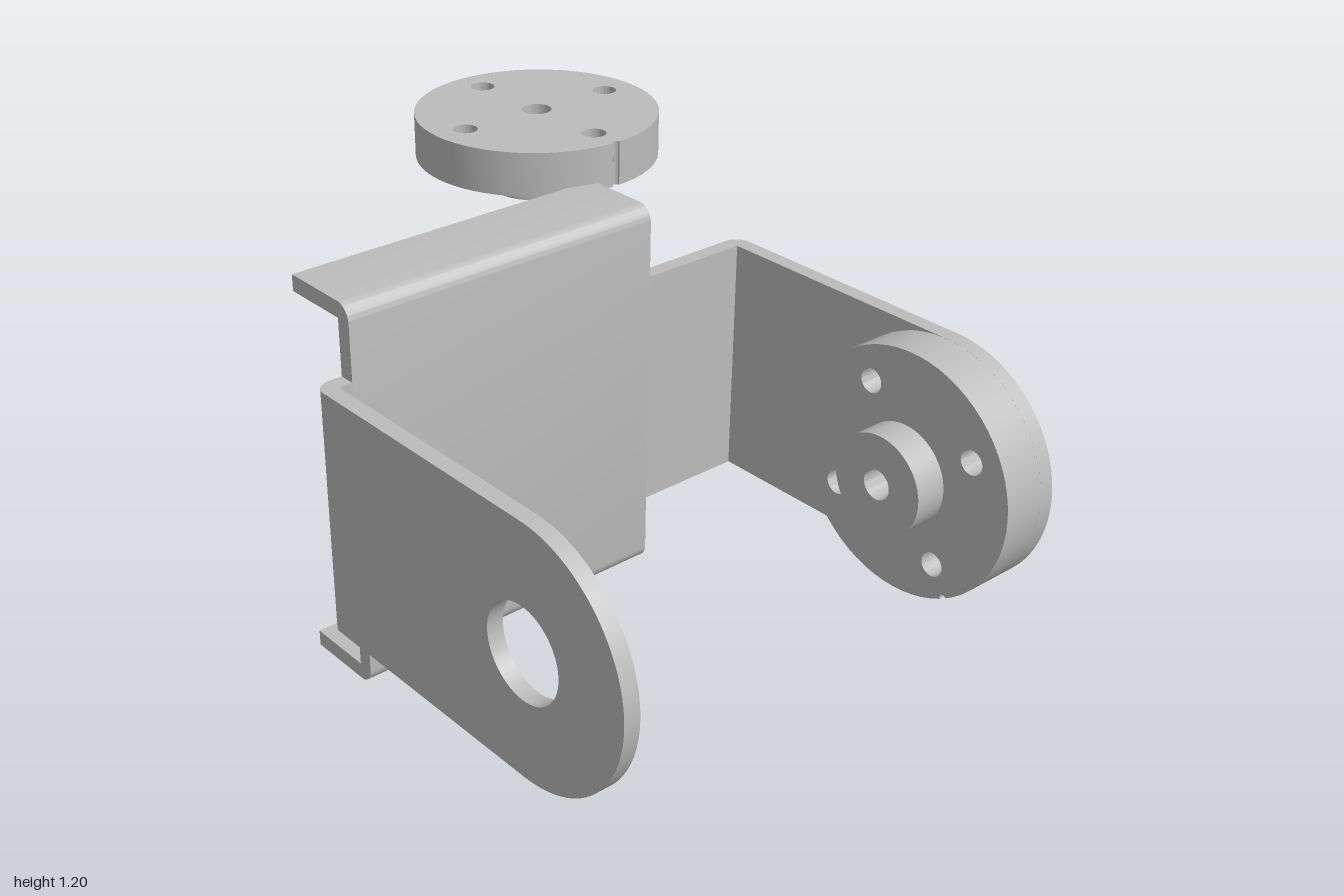
import * as THREE from 'three';
import { toCreasedNormals } from 'three/addons/utils/BufferGeometryUtils.js';

const T = 0.045;                       // sheet thickness
const WEB = [-0.145, -0.1];            // web faces in x
const ARM_Y = [0.207, 0.895];          // arm height range
const PIVOT = [0.655, 0.551];          // arm pivot in x, y
const R = 0.344;                       // horn and arm end radius

function extrude(shape, depth, segments = 32) {
  const geometry = new THREE.ExtrudeGeometry(shape, { depth, bevelEnabled: false, curveSegments: segments });
  return toCreasedNormals(geometry, 0.5);
}

function addHole(shape, x, y, r) {
  shape.holes.push(new THREE.Path().absarc(x, y, r, 0, Math.PI * 2, true));
}

export function createModel() {
  const model = new THREE.Group();
  model.name = 'servoBracketSet';
  const metal = new THREE.MeshStandardMaterial({ color: 0xbcbcbc });
  metal.name = 'grey metal';

  const add = (parent, name, geometry) => {
    const mesh = new THREE.Mesh(geometry, metal);
    mesh.name = name;
    parent.add(mesh);
    return mesh;
  };

  const bracket = new THREE.Group();
  bracket.name = 'bracket';
  model.add(bracket);

  // Web with top and bottom flanges folded towards -x
  const [x0, x1] = WEB, top = 1.097, lip = -0.342;
  const channel = new THREE.Shape();
  channel.moveTo(lip, 0);
  channel.lineTo(x1 - T, 0);
  channel.absarc(x1 - T, T, T, -Math.PI / 2, 0, false);
  channel.lineTo(x1, top - T);
  channel.absarc(x1 - T, top - T, T, 0, Math.PI / 2, false);
  channel.lineTo(lip, top);
  channel.lineTo(lip, top - T);
  channel.lineTo(x0, top - T);
  channel.lineTo(x0, T);
  channel.lineTo(lip, T);
  channel.closePath();
  add(bracket, 'flangedWeb', extrude(channel, 0.957, 8)).position.z = -0.32;

  // Web extensions whose outer edge bends into an arm; drawn in x and -z, raised along y
  const wing = (name, inner, outer) => {
    const s = Math.sign(outer), a = Math.abs(inner), b = Math.abs(outer);
    const shape = new THREE.Shape();
    shape.moveTo(x0, -s * a);
    shape.lineTo(x1, -s * a);
    shape.lineTo(x1, -s * b);
    shape.absarc(x1, -s * (b - T), T, -s * Math.PI / 2, s > 0 ? -Math.PI : Math.PI, s > 0);
    shape.closePath();
    const geometry = extrude(shape, ARM_Y[1] - ARM_Y[0], 8).rotateX(-Math.PI / 2);
    add(bracket, name, geometry).position.y = ARM_Y[0];
  };
  wing('frontBend', 0.637, 0.72);
  wing('backBend', -0.32, -0.688);

  // Two arms with round ends and a pivot hole
  const arm = new THREE.Shape();
  arm.moveTo(x1, ARM_Y[0]);
  arm.lineTo(PIVOT[0], ARM_Y[0]);
  arm.absarc(PIVOT[0], PIVOT[1], R, -Math.PI / 2, Math.PI / 2, false);
  arm.lineTo(x1, ARM_Y[1]);
  arm.closePath();
  addHole(arm, ...PIVOT, 0.127);
  const armGeometry = extrude(arm, T);
  add(bracket, 'frontArm', armGeometry).position.z = 0.72 - T;
  add(bracket, 'backArm', armGeometry).position.z = -0.688;

  // Round horn: disc with screw holes and a rim notch, and a hub
  const notch = 0.011, a = notch / R;
  const disc = new THREE.Shape();
  disc.absarc(0, 0, R, a, Math.PI * 2 - a, false);
  disc.absarc(R, 0, notch, -Math.PI / 2, Math.PI / 2, true);
  addHole(disc, 0, 0, 0.042);
  for (let i = 0; i < 4; i++) {
    const angle = i * Math.PI / 2;
    addHole(disc, 0.25 * Math.cos(angle), 0.25 * Math.sin(angle), 0.034);
  }
  const discGeometry = extrude(disc, 0.125);
  const hub = new THREE.Shape().absarc(0, 0, 0.14, 0, Math.PI * 2, false);
  addHole(hub, 0, 0, 0.042);
  const hubGeometry = extrude(hub, 0.094);

  const horn = (name) => {
    const group = new THREE.Group();
    group.name = name;
    add(group, 'hornDisc', discGeometry);
    add(group, 'hornHub', hubGeometry).position.z = 0.125;
    model.add(group);
    return group;
  };
  const armHorn = horn('armHorn');
  armHorn.position.set(...PIVOT, -0.643);
  armHorn.rotation.z = -Math.PI / 3;
  const topHorn = horn('topHorn');
  topHorn.position.set(-0.656, 1.2, -0.381);
  topHorn.rotation.x = Math.PI / 2;

  return model;
}
